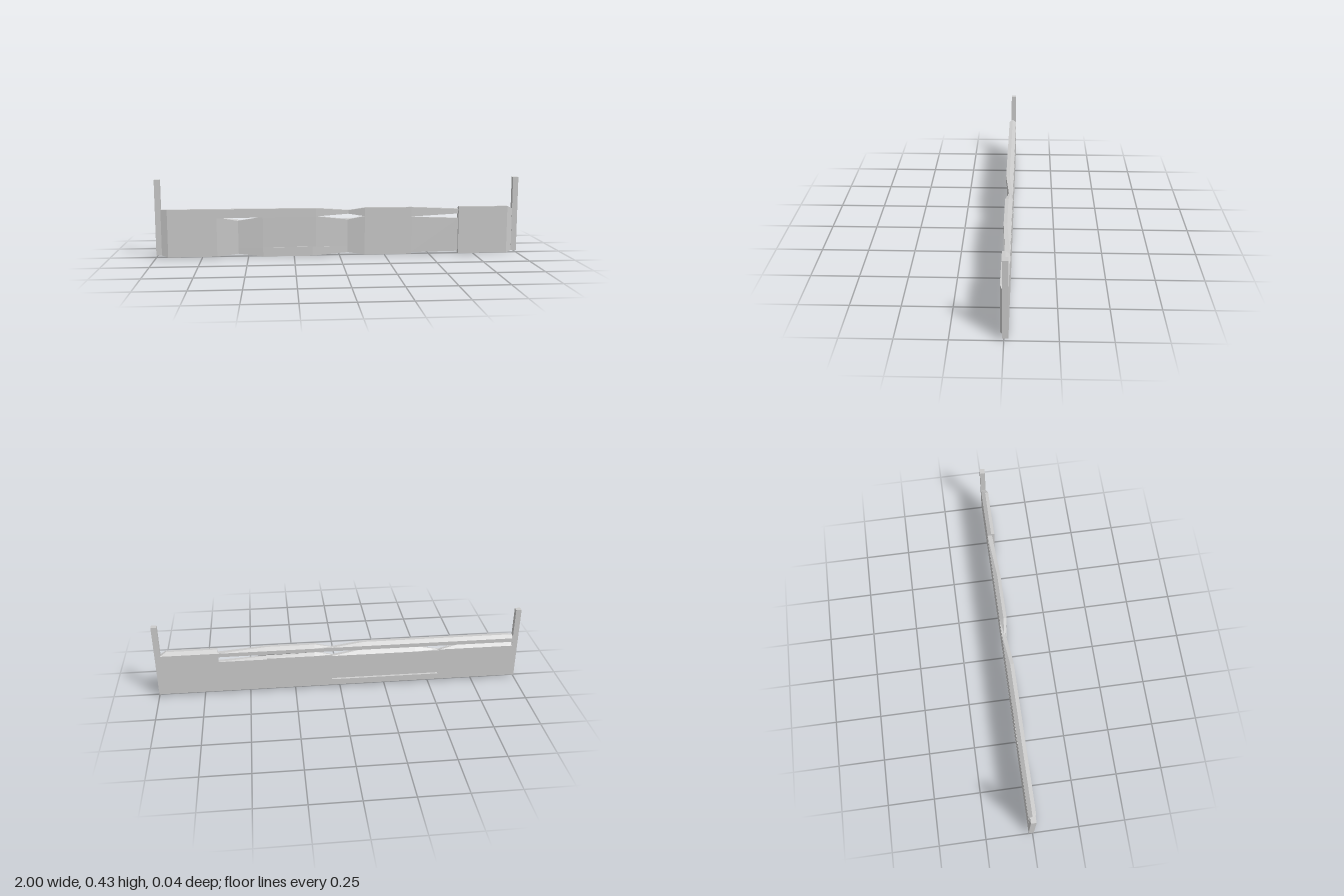
import * as THREE from 'three';

const BACK = -0.021;
const material = new THREE.MeshStandardMaterial({ color: 0xcccccc, flatShading: true });

// Lofts a board along x. Each station is [x, bottom, top, frontZ];
// backBottom and backTop bound its flat rear face.
function board(name, backBottom, backTop, stations) {
  const rings = stations.map(([x, y0, y1, zf]) => {
    const zm = Math.min(0, zf - 0.008);
    return [
      [x, backBottom, BACK], [x, y0, zm], [x, y0, zf],
      [x, y1, zf], [x, y1, zm], [x, backTop, BACK],
    ];
  });
  const n = 6;
  const positions = [];
  const tri = (a, b, c) => positions.push(...a, ...b, ...c);
  for (let i = 0; i < rings.length - 1; i++) {
    const p = rings[i], q = rings[i + 1];
    for (let j = 0; j < n; j++) {
      const k = (j + 1) % n;
      tri(p[j], q[j], q[k]);
      tri(p[j], q[k], p[k]);
    }
  }
  // End caps
  const first = rings[0], last = rings[rings.length - 1];
  for (let j = 1; j < n - 1; j++) {
    tri(first[0], first[j], first[j + 1]);
    tri(last[0], last[j + 1], last[j]);
  }
  const geometry = new THREE.BufferGeometry();
  geometry.setAttribute('position', new THREE.Float32BufferAttribute(positions, 3));
  geometry.computeVertexNormals();
  const mesh = new THREE.Mesh(geometry, material);
  mesh.name = name;
  return mesh;
}

export function createModel() {
  const group = new THREE.Group();
  group.name = 'plankBarrier';

  // Upright end posts
  for (const side of [-1, 1]) {
    const post = new THREE.Mesh(new THREE.BoxGeometry(0.03, 0.413, 0.028), material);
    post.name = side > 0 ? 'leftPost' : 'rightPost';
    post.position.set(side * 0.985, 0.2215, -0.007);
    group.add(post);
  }

  group.add(
    // Narrow rail along the top, pinched near the middle
    board('topRail', 0.23, 0.252, [
      [-0.972, 0.218, 0.266, 0.006], [-0.935, 0.218, 0.267, 0.02],
      [-0.66, 0.218, 0.267, 0.02], [-0.13, 0.222, 0.267, 0.02],
      [0.05, 0.232, 0.252, 0.0], [0.14, 0.22, 0.267, 0.018],
      [0.4, 0.215, 0.267, 0.018], [0.67, 0.227, 0.252, 0.004],
    ]),
    // Main plank running into the pinch beside the centre panel
    board('rightPlank', 0.015, 0.205, [
      [-0.972, 0.015, 0.222, 0.006], [-0.935, 0.006, 0.222, 0.02],
      [-0.67, 0.006, 0.222, 0.02], [-0.555, 0.017, 0.2, 0.003],
    ]),
    // Bulging centre panel
    board('centrePanel', 0.058, 0.2, [
      [-0.555, 0.05, 0.2, 0.001], [-0.42, 0.05, 0.222, 0.013],
      [-0.13, 0.05, 0.222, 0.015], [0.047, 0.05, 0.2, 0.001],
    ]),
    // Strip below the centre panel
    board('lowerStrip', 0.015, 0.05, [
      [-0.555, 0.017, 0.052, 0.003], [-0.42, 0.003, 0.052, 0.02],
      [-0.15, 0.003, 0.054, 0.021], [0.047, 0.017, 0.052, 0.003],
    ]),
    // Thick plank left of the centre panel
    board('leftPlank', 0.015, 0.205, [
      [0.045, 0.017, 0.2, 0.003], [0.14, 0.005, 0.22, 0.018],
      [0.4, 0.005, 0.216, 0.018],
    ]),
    // Thin, worn stretch of plank
    board('thinPlank', 0.015, 0.2, [
      [0.4, 0.012, 0.212, 0.008], [0.67, 0.015, 0.2, 0.003],
    ]),
    // Full-height end board
    board('endBoard', 0.015, 0.252, [
      [0.665, 0.004, 0.267, 0.018], [0.94, 0.004, 0.267, 0.018],
      [0.972, 0.015, 0.252, 0.005],
    ]),
  );
  return group;
}
